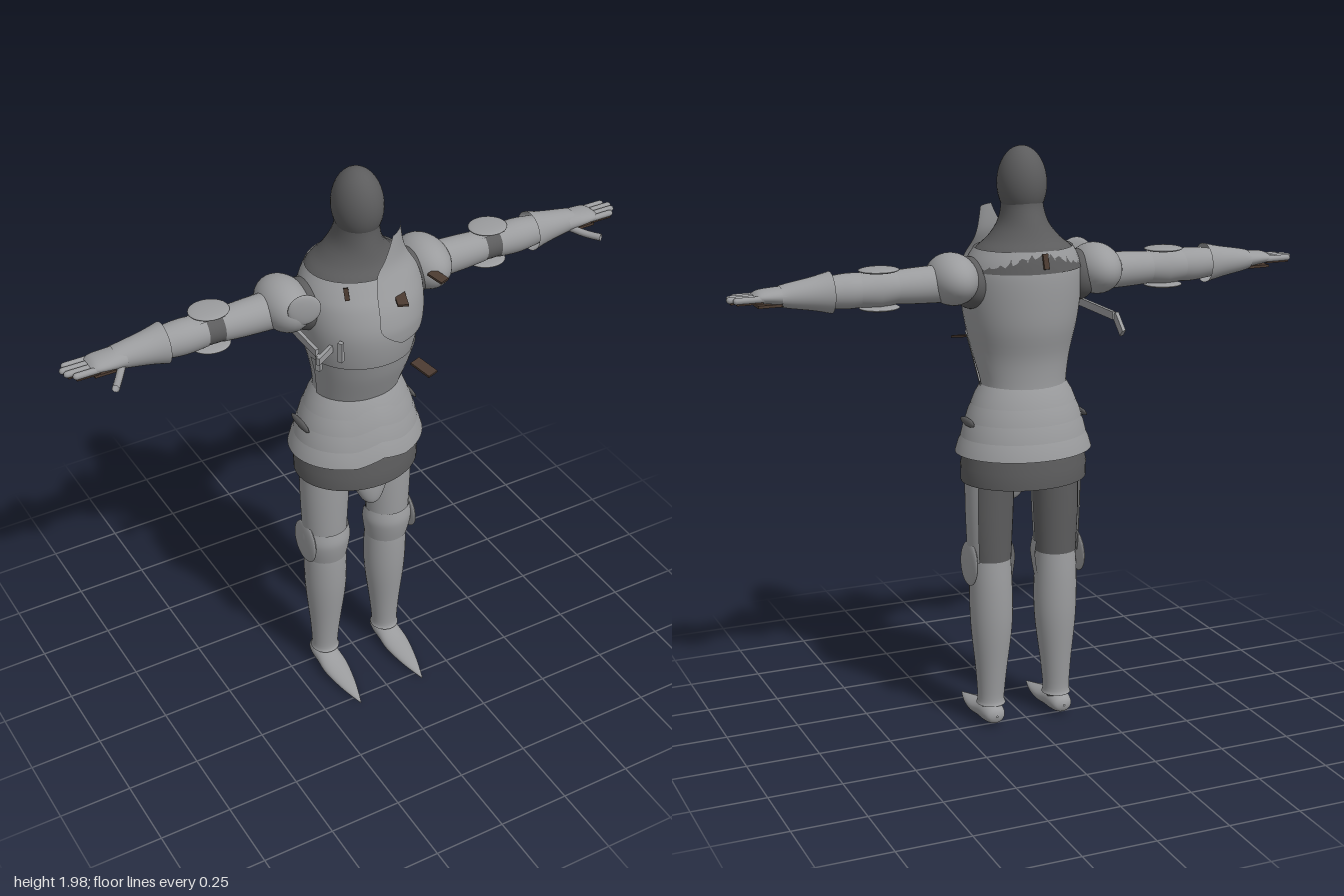
import * as THREE from 'three';

const mat = (name, color) => new THREE.MeshStandardMaterial({ name, color, side: THREE.DoubleSide });

// Skin elliptical sections [y, rx, rz, cx, cz, angleFrom, angleTo]; angle 0 is the front, +90 deg is +x.
function loft(rows, seg = 32) {
  const pos = [], idx = [];
  for (const [y, rx, rz, cx = 0, cz = 0, a0 = -Math.PI, a1 = Math.PI] of rows)
    for (let j = 0; j <= seg; j++) {
      const a = a0 + (a1 - a0) * j / seg;
      pos.push(cx + rx * Math.sin(a), y, cz + rz * Math.cos(a));
    }
  const full = rows[0].length < 6, n = seg + 1;
  for (let i = 0; i < rows.length - 1; i++)
    for (let j = 0; j < seg; j++) {
      const k = full ? (j + 1) % seg : j + 1;
      const a = i * n + j, b = i * n + k, c = b + n, d = a + n;
      idx.push(a, b, d, b, c, d);
    }
  const g = new THREE.BufferGeometry();
  g.setAttribute('position', new THREE.Float32BufferAttribute(pos, 3));
  g.setIndex(idx);
  g.computeVertexNormals();
  return g;
}

// Smooth a list of sections with a spline through every column.
function smooth(rows, steps = 4) {
  const out = [], last = rows.length - 1;
  const cr = (p, q, r, s, t) => 0.5 * (2 * q + (r - p) * t + (2 * p - 5 * q + 4 * r - s) * t * t + (3 * q - p - 3 * r + s) * t * t * t);
  for (let i = 0; i < last; i++)
    for (let k = 0; k < steps; k++)
      out.push(rows[i].map((v, c) => cr(rows[Math.max(i - 1, 0)][c], v, rows[i + 1][c], rows[Math.min(i + 2, last)][c], k / steps)));
  out.push(rows[last]);
  return out;
}

export function createModel() {
  const steel = mat('steel', 0x9b9c9e), mail = mat('mail', 0x5c5c5d), leather = mat('leather', 0x4a3a30);
  const model = new THREE.Group();
  model.name = 'suitOfArmour';
  const add = (parent, name, geo, m, p = [0, 0, 0], r = [0, 0, 0], s = [1, 1, 1]) => {
    const mesh = new THREE.Mesh(geo, m);
    mesh.name = name;
    mesh.position.set(...p);
    mesh.rotation.set(...r);
    mesh.scale.set(...s);
    parent.add(mesh);
    return mesh;
  };
  const ball = new THREE.SphereGeometry(1, 32, 20);
  const box = new THREE.BoxGeometry(1, 1, 1);

  // Mail hood and mantle
  add(model, 'hood', ball, mail, [0, 1.862, 0.033], [0, 0, 0], [0.08, 0.121, 0.094]);
  add(model, 'mantle', loft(smooth([
    [1.59, 0.196, 0.165, 0, 0.022], [1.65, 0.165, 0.146, 0, 0.019], [1.69, 0.118, 0.118, 0, 0.02],
    [1.74, 0.08, 0.098, 0, 0.025], [1.8, 0.066, 0.082, 0, 0.032], [1.85, 0.07, 0.085, 0, 0.033]])), mail);

  // Cuirass: body shell with a neckline that dips at the front and sides
  const cuirass = loft(smooth([
    [1.17, 0.15, 0.125, 0, 0.022], [1.21, 0.146, 0.122, 0, 0.022], [1.3, 0.164, 0.148, 0, 0.042],
    [1.4, 0.187, 0.175, 0, 0.045], [1.49, 0.2, 0.184, 0, 0.045], [1.57, 0.2, 0.176, 0, 0.035],
    [1.62, 0.187, 0.161, 0, 0.026], [1.66, 0.165, 0.145, 0, 0.021]]), 48);
  add(model, 'cuirass', cuirass, steel);
  add(model, 'lowerBreastplate', loft(smooth([
    [1.2, 0.15, 0.127, 0, 0.022, -1.5, 1.5], [1.3, 0.168, 0.152, 0, 0.042, -1.5, 1.5],
    [1.37, 0.185, 0.173, 0, 0.045, -1.5, 1.5]])), steel);

  // Reinforcing plate over the left breast, rising to guard the neck
  add(model, 'breastReinforce', loft(smooth([
    [1.445, 0.205, 0.192, 0, 0.045, 0.25, 0.8], [1.47, 0.208, 0.195, 0, 0.045, 0.05, 1.0],
    [1.51, 0.21, 0.195, 0, 0.045, -0.14, 1.2], [1.57, 0.209, 0.188, 0, 0.038, -0.14, 1.2],
    [1.63, 0.195, 0.172, 0, 0.028, -0.12, 1.15], [1.68, 0.165, 0.158, 0, 0.02, -0.06, 1.15],
    [1.72, 0.15, 0.148, 0, 0.02, 0.15, 1.15], [1.785, 0.14, 0.14, 0, 0.02, 0.45, 1.2]]), 24), steel);

  // Overlapping waist lames, raised to a point at the centre front
  const lames = [[1.205, 1.14, 0.147, 0.18], [1.15, 1.085, 0.174, 0.2], [1.1, 1.03, 0.192, 0.216], [1.045, 0.975, 0.208, 0.235]];
  lames.forEach(([top, low, r0, r1], i) => {
    const g = loft([[low, r1, r1 * 0.82, 0, 0.022], [(top + low) / 2, (r0 + r1) / 2 + 0.003, (r0 + r1) * 0.41 + 0.003, 0, 0.022],
      [top, r0, r0 * 0.82, 0, 0.022]], 64);
    const p = g.attributes.position;
    for (let k = 0; k < p.count; k++)
      if (p.getZ(k) > 0) p.setY(k, p.getY(k) + 0.022 * Math.max(0, 1 - Math.abs(p.getX(k)) / 0.09) * (i ? 1 : 0.5));
    g.computeVertexNormals();
    add(model, 'waistLame', g, steel);
  });

  // Mail skirt and fork plate
  add(model, 'mailSkirt', loft([[0.875, 0.216, 0.178, 0, 0.022], [0.93, 0.217, 0.18, 0, 0.022], [1.02, 0.2, 0.165, 0, 0.022]], 48), mail);
  add(model, 'hips', ball, mail, [0, 0.95, 0.02], [0, 0, 0], [0.18, 0.08, 0.1]);
  add(model, 'forkPlate', loft(smooth([
    [0.76, 0.004, 0.004, 0, 0.135], [0.775, 0.03, 0.025, 0, 0.132], [0.82, 0.055, 0.038, 0, 0.125],
    [0.88, 0.08, 0.045, 0, 0.115], [0.93, 0.09, 0.05, 0, 0.1]])), steel);

  // Limbs are made for the left side and mirrored
  for (const side of [1, -1]) {
    const leg = new THREE.Group(), arm = new THREE.Group();
    leg.name = side > 0 ? 'leftLeg' : 'rightLeg';
    arm.name = side > 0 ? 'leftArm' : 'rightArm';
    leg.scale.x = arm.scale.x = side;
    model.add(leg, arm);

    // Leg
    add(leg, 'mailThigh', loft([[0.6, 0.07, 0.066, 0.12, 0.022], [0.75, 0.077, 0.072, 0.12, 0.022], [0.96, 0.08, 0.074, 0.115, 0.022]]), mail);
    add(leg, 'thighPlate', loft(smooth([
      [0.6, 0.076, 0.073, 0.122, 0.024, -1.6, 2.3], [0.68, 0.08, 0.077, 0.122, 0.024, -1.6, 2.3],
      [0.8, 0.085, 0.08, 0.121, 0.024, -1.6, 2.3], [0.94, 0.086, 0.08, 0.12, 0.024, -1.6, 2.3]])), steel);
    add(leg, 'kneeCop', loft(smooth([
      [0.515, 0.075, 0.074, 0.121, 0.024, -1.8, 1.8], [0.56, 0.083, 0.082, 0.122, 0.026, -1.8, 1.8],
      [0.6, 0.087, 0.086, 0.122, 0.026, -1.8, 1.8], [0.64, 0.081, 0.079, 0.122, 0.025, -1.8, 1.8]])), steel);
    add(leg, 'kneeWing', ball, steel, [0.197, 0.588, 0.025], [0, 0, 0.05], [0.012, 0.076, 0.074]);
    add(leg, 'greave', loft(smooth([
      [0.075, 0.05, 0.052, 0.123, 0.02], [0.1, 0.046, 0.046, 0.123, 0.02], [0.2, 0.054, 0.055, 0.121, 0.02],
      [0.33, 0.069, 0.069, 0.119, 0.021], [0.42, 0.074, 0.074, 0.119, 0.022], [0.52, 0.073, 0.073, 0.12, 0.023],
      [0.61, 0.068, 0.065, 0.12, 0.022]])), steel);
    add(leg, 'ankle', loft([[0.04, 0.034, 0.036, 0.124, 0.015], [0.1, 0.038, 0.04, 0.124, 0.018]]), mail);
    add(leg, 'pointedShoe', loft(smooth([
      [-0.045, 0.003, 0.003, 0, -0.043], [-0.035, 0.03, 0.025, 0, -0.042], [0, 0.042, 0.036, 0, -0.044],
      [0.05, 0.044, 0.032, 0, -0.039], [0.11, 0.045, 0.024, 0, -0.028], [0.2, 0.028, 0.014, 0, -0.016],
      [0.285, 0.002, 0.003, 0, -0.006]])).rotateX(Math.PI / 2), steel, [0.126, 0, 0]);

    // Arm, lofted outwards along x
    const sleeve = (name, rows, m) => add(arm, name, loft(smooth(rows)).rotateZ(-Math.PI / 2), m, [0, 1.556, 0.012]);
    add(arm, 'shoulderPlate', ball, steel, [0.255, 1.568, 0.012], [0, 0, 0], [0.083, 0.085, 0.12]);
    add(arm, 'armpitMail', ball, mail, [0.19, 1.55, 0.02], [0, 0, 0], [0.06, 0.085, 0.09]);
    sleeve('upperArm', [[0.26, 0.062, 0.064, 0, 0], [0.34, 0.06, 0.06, 0, 0], [0.41, 0.057, 0.057, 0, 0], [0.475, 0.052, 0.052, 0, 0]], steel);
    sleeve('elbowMail', [[0.46, 0.05, 0.05, 0, 0], [0.57, 0.05, 0.05, 0, 0]], mail);
    const cop = loft([[0.45, 0.054, 0.056, 0, 0, 1.7, 5.3], [0.51, 0.063, 0.064, 0, 0, 1.7, 5.3], [0.575, 0.054, 0.056, 0, 0, 1.7, 5.3]]);
    add(arm, 'elbowCop', cop.rotateZ(-Math.PI / 2), steel, [0, 1.556, 0.012]);
    for (const y of [1.617, 1.496])
      add(arm, 'elbowWing', ball, steel, [0.505, y, 0.004], [0, 0, 0], [0.066, 0.009, 0.06]);
    sleeve('forearm', [[0.53, 0.052, 0.052, 0, 0], [0.6, 0.057, 0.057, 0, 0], [0.66, 0.052, 0.052, 0, 0], [0.74, 0.04, 0.042, 0, 0]], steel);
    sleeve('gauntletCuff', [[0.665, 0.067, 0.066, 0, 0], [0.72, 0.054, 0.054, 0, 0], [0.8, 0.04, 0.044, 0, 0], [0.83, 0.033, 0.044, 0, 0]], steel);
    sleeve('handPlate', [[0.8, 0.032, 0.045, 0, 0.002], [0.85, 0.026, 0.048, -0.003, 0.004], [0.895, 0.02, 0.046, -0.004, 0.004], [0.915, 0.01, 0.036, -0.002, 0.004]], steel);
    add(arm, 'palm', box, leather, [0.865, 1.532, 0.016], [0, 0, 0], [0.08, 0.009, 0.065]);
    [0.975, 0.995, 1, 0.985].forEach((tip, i) => {
      const z = 0.05 - i * 0.023, len = tip - 0.88;
      add(arm, 'finger', new THREE.CapsuleGeometry(0.0105, len - 0.021, 4, 10), steel, [tip - len / 2, 1.557, z], [0, 0, Math.PI / 2]);
      add(arm, 'fingerPad', box, leather, [tip - len / 2, 1.546, z], [0, 0, 0], [len * 0.8, 0.005, 0.015]);
    });
    add(arm, 'thumb', new THREE.TubeGeometry(new THREE.CatmullRomCurve3([
      new THREE.Vector3(0.81, 1.54, 0.035), new THREE.Vector3(0.845, 1.53, 0.085), new THREE.Vector3(0.875, 1.53, 0.13)]), 8, 0.012, 10), steel);

    // Gap of mail at the hip
    add(model, 'hipMailPatch', ball, mail, [side * 0.203, 1.085, 0.015], [0, 0, side * 0.25], [0.008, 0.013, 0.06]);
  }

  // Round armpit guard on the right shoulder
  add(model, 'armpitGuard', ball, steel, [-0.24, 1.602, 0.128], [0, -0.25, 0], [0.053, 0.053, 0.012]);

  // Lance rest: hooked bracket at the front, long bar running back
  add(model, 'restBar', box, steel, [-0.215, 1.453, -0.03], [0, 0, 0], [0.012, 0.026, 0.38]);
  add(model, 'restBarEnd', box, steel, [-0.22, 1.431, -0.247], [-0.75, 0, 0], [0.012, 0.028, 0.075]);
  add(model, 'restArm', box, steel, [-0.185, 1.445, 0.165], [0, 0.55, 0], [0.11, 0.025, 0.012]);
  add(model, 'restHook', box, steel, [-0.22, 1.43, 0.18], [0, 0.55, 0], [0.015, 0.055, 0.015]);
  add(model, 'restPeg', box, steel, [-0.15, 1.455, 0.195], [0, 0.55, 0], [0.015, 0.07, 0.015]);

  // Leather straps: position, rotation, size
  const straps = [
    [[0.05, 1.6, 0.22], [0.18, -0.3, 0], [0.035, 0.008, 0.06]],
    [[0.13, 1.325, 0.235], [0.2, 0.3, 0], [0.04, 0.008, 0.08]],
    [[0.23, 1.585, 0.145], [0.15, 0.3, 0], [0.035, 0.008, 0.06]],
    [[-0.11, 1.635, 0.16], [-0.3, -0.5, 0], [0.015, 0.04, 0.008]],
    [[-0.01, 1.63, -0.139], [0.3, 0, 0], [0.018, 0.05, 0.009]]];
  for (const [p, r, s] of straps) add(model, 'strap', box, leather, p, r, s);

  return model;
}
